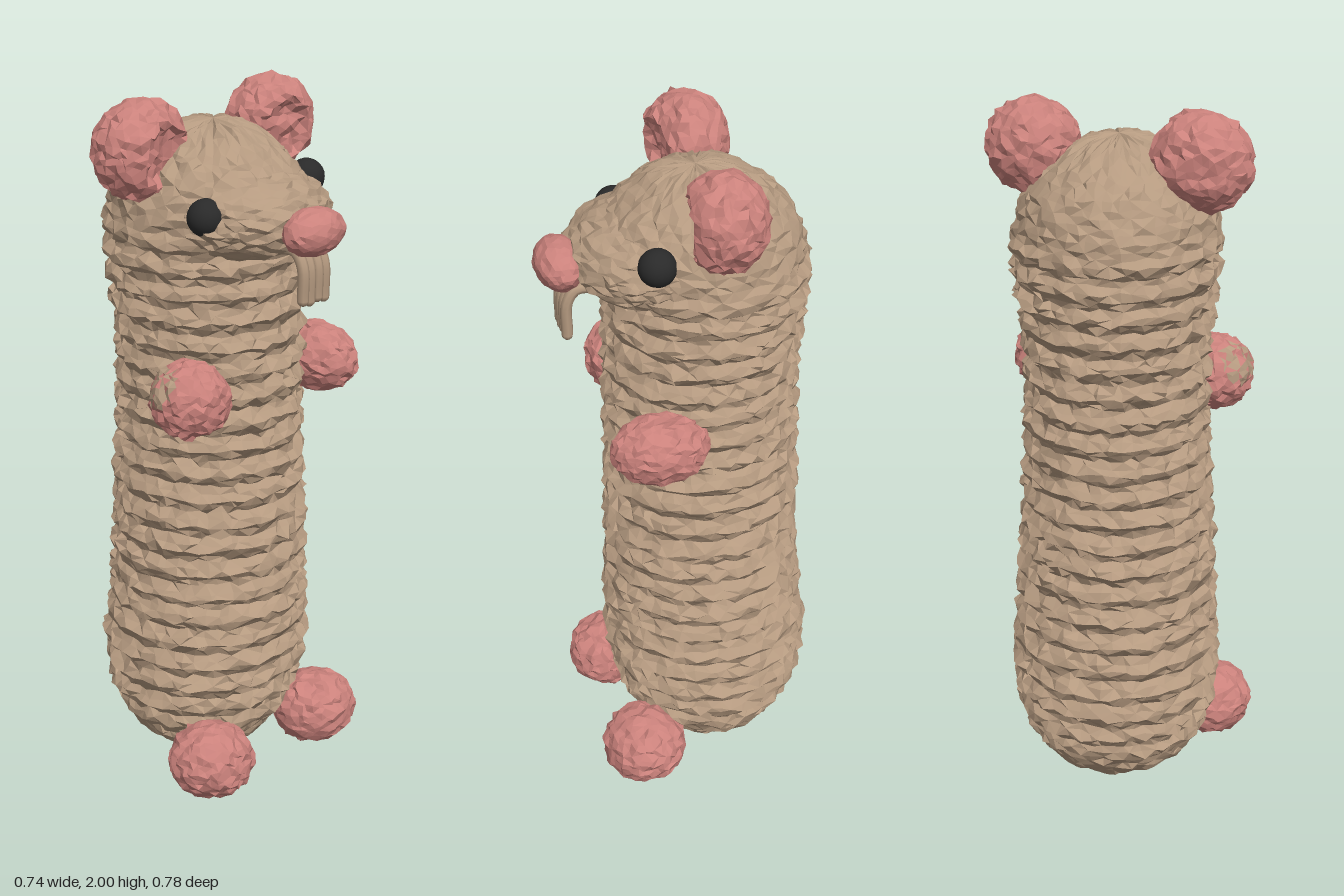
import * as THREE from 'three';
import { mergeVertices } from 'three/addons/utils/BufferGeometryUtils.js';

// Small seeded random in -1..1 for the uneven yarn
function makeRandom(seed) {
  let s = seed;
  return () => {
    s = (s * 16807) % 2147483647;
    return (s / 2147483647) * 2 - 1;
  };
}

// Split faces so every facet is shaded flat
function faceted(geometry) {
  const g = geometry.index ? geometry.toNonIndexed() : geometry;
  g.computeVertexNormals();
  return g;
}

// Crocheted ball: an ellipsoid with jittered corners and an optional dent
function yarnBall(radii, seed, { detail = 6, rough = 0.06, dent = null } = {}) {
  const rnd = makeRandom(seed);
  let g = new THREE.IcosahedronGeometry(1, detail);
  g.deleteAttribute('uv');
  g.deleteAttribute('normal');
  g = mergeVertices(g, 1e-4);
  const p = g.attributes.position;
  const v = new THREE.Vector3();
  for (let i = 0; i < p.count; i++) {
    v.fromBufferAttribute(p, i);
    const d = dent ? v.dot(dent) : 0;
    const cup = dent ? THREE.MathUtils.smoothstep(d, 0.72, 0.95) * 0.4 : 0;
    v.x += rnd() * rough;
    v.y += rnd() * rough;
    v.z += rnd() * rough;
    if (dent) v.addScaledVector(dent, -cup);
    p.setXYZ(i, v.x * radii[0], v.y * radii[1], v.z * radii[2]);
  }
  return faceted(g);
}

// Body cross-sections: height, half width, back z, front z
const SECTIONS = [
  [0.02, 0, -0.1, -0.1], [0.03, 0.12, -0.21, 0.03], [0.09, 0.21, -0.29, 0.11],
  [0.2, 0.268, -0.35, 0.17], [0.35, 0.29, -0.375, 0.2], [0.5, 0.282, -0.36, 0.205],
  [0.75, 0.268, -0.34, 0.2], [1.05, 0.254, -0.335, 0.195], [1.3, 0.25, -0.33, 0.195],
  [1.5, 0.268, -0.345, 0.19], [1.62, 0.282, -0.355, 0.2], [1.7, 0.272, -0.345, 0.21],
  [1.78, 0.235, -0.31, 0.19], [1.85, 0.17, -0.24, 0.12], [1.9, 0.09, -0.15, 0.04],
  [1.915, 0, -0.05, -0.05],
];

// Body and head as stacked rings with a ridge for every crochet row
function bodyGeometry() {
  const rnd = makeRandom(77);
  const segs = 56, rowHeight = 0.0735, pos = [], index = [];
  const levels = [];
  for (let k = 0; k < SECTIONS.length - 1; k++) {
    const n = Math.max(2, Math.round((SECTIONS[k + 1][0] - SECTIONS[k][0]) / 0.0184));
    for (let i = 0; i < n; i++) levels.push((k + i / n) / (SECTIONS.length - 1));
  }
  levels.push(1);
  const side = new THREE.CatmullRomCurve3(SECTIONS.map(s => new THREE.Vector3(s[1], s[0], 0)));
  const depth = new THREE.CatmullRomCurve3(SECTIONS.map(s => new THREE.Vector3(s[2], s[0], s[3])));
  levels.forEach((t, i) => {
    const a = side.getPoint(t), b = depth.getPoint(t);
    const end = i === 0 || i === levels.length - 1;
    const knit = THREE.MathUtils.smoothstep(a.y, 0.08, 0.2) * (1 - THREE.MathUtils.smoothstep(a.y, 1.6, 1.72));
    const mid = (b.x + b.z) / 2, half = (b.z - b.x) / 2;
    for (let j = 0; j < segs; j++) {
      const angle = ((j + (end ? 0 : rnd() * 0.35)) / segs) * Math.PI * 2;
      const ridge = Math.sin((a.y / rowHeight) * Math.PI * 2 + Math.sin(j * 2.1) * 0.4);
      const out = end ? 0 : ridge * 0.013 * knit + rnd() * 0.008;
      pos.push(
        Math.cos(angle) * (Math.max(a.x, 0) + out),
        a.y + (end ? 0 : rnd() * 0.006),
        mid + Math.sin(angle) * (Math.max(half, 0) + out)
      );
    }
  });
  for (let i = 0; i < levels.length - 1; i++) {
    for (let j = 0; j < segs; j++) {
      const a = i * segs + j, b = i * segs + ((j + 1) % segs);
      const c = a + segs, d = b + segs;
      if ((i + j) % 2) index.push(a, c, b, b, c, d);
      else index.push(a, c, d, a, d, b);
    }
  }
  const g = new THREE.BufferGeometry();
  g.setAttribute('position', new THREE.Float32BufferAttribute(pos, 3));
  g.setIndex(index);
  return faceted(g);
}

// Put faces that point along a direction into a second material group
function patchFaces(g, direction, limit, seed) {
  const rnd = makeRandom(seed);
  const p = g.attributes.position, c = new THREE.Vector3();
  for (let f = 0; f < p.count; f += 3) {
    c.set(0, 0, 0);
    for (let k = 0; k < 3; k++) c.add(new THREE.Vector3().fromBufferAttribute(p, f + k));
    const patched = c.normalize().dot(direction) > limit && rnd() > -0.3;
    g.addGroup(f, 3, patched ? 1 : 0);
  }
  return g;
}

export function createModel() {
  const model = new THREE.Group();
  model.name = 'crochetRodent';
  const material = (name, color) => {
    const m = new THREE.MeshStandardMaterial({ color });
    m.name = name;
    return m;
  };
  const tan = material('tan yarn', 0xb59a80);
  const pink = material('pink yarn', 0xcb827c);
  const black = material('black eye', 0x2a2a2a);

  const add = (name, geometry, mat, x = 0, y = 0, z = 0) => {
    const mesh = new THREE.Mesh(geometry, mat);
    mesh.name = name;
    mesh.position.set(x, y, z);
    model.add(mesh);
    return mesh;
  };

  // Body, snout and nose
  add('body', bodyGeometry(), tan);
  add('snout', yarnBall([0.235, 0.125, 0.22], 11, { detail: 9, rough: 0.04 }), tan, 0, 1.685, 0.08);
  add('nose', yarnBall([0.1, 0.065, 0.067], 23, { detail: 4, rough: 0.04 }), pink, 0, 1.675, 0.318);

  // Cupped ears
  const cup = sx => new THREE.Vector3(-0.2 * sx, -0.1, 1).normalize();
  add('leftEar', yarnBall([0.13, 0.13, 0.115], 31, { dent: cup(1) }), pink, 0.235, 1.868, -0.062);
  add('rightEar', yarnBall([0.138, 0.133, 0.115], 37, { dent: cup(-1) }), pink, -0.235, 1.865, -0.088);

  // Eyes
  const eye = new THREE.SphereGeometry(0.051, 18, 12);
  add('leftEye', eye, black, 0.205, 1.743, 0.105);
  add('rightEye', eye, black, -0.2, 1.713, 0.122);

  // Hands, the right one with some body yarn showing through
  add('leftHand', yarnBall([0.095, 0.097, 0.133], 41), pink, 0.253, 1.214, 0.112);
  const hand = patchFaces(yarnBall([0.11, 0.107, 0.11], 43),
    new THREE.Vector3(-0.8, 0.45, -0.35).normalize(), 0.82, 5);
  add('rightHand', hand, [pink, tan], -0.235, 1.21, 0.095);

  // Feet
  add('leftFoot', yarnBall([0.125, 0.106, 0.122], 53), pink, 0.215, 0.113, 0.158);
  add('rightFoot', yarnBall([0.123, 0.106, 0.122], 59), pink, -0.225, 0.113, 0.16);

  // Front teeth: strands of yarn hanging under the nose
  [-0.03, -0.005, 0.025, 0.051].forEach((x, i) => {
    const strand = new THREE.CatmullRomCurve3([
      new THREE.Vector3(x, 1.62, 0.24), new THREE.Vector3(x, 1.618, 0.285),
      new THREE.Vector3(x, 1.58, 0.31), new THREE.Vector3(x, 1.49 - (i % 2) * 0.005, 0.312),
    ]);
    const tooth = new THREE.TubeGeometry(strand, 12, 0.016, 8);
    add('tooth' + (i + 1), tooth, tan);
    const tip = new THREE.SphereGeometry(0.016, 8, 6);
    add('toothTip' + (i + 1), tip, tan, x, 1.49 - (i % 2) * 0.005, 0.312);
  });

  return model;
}
